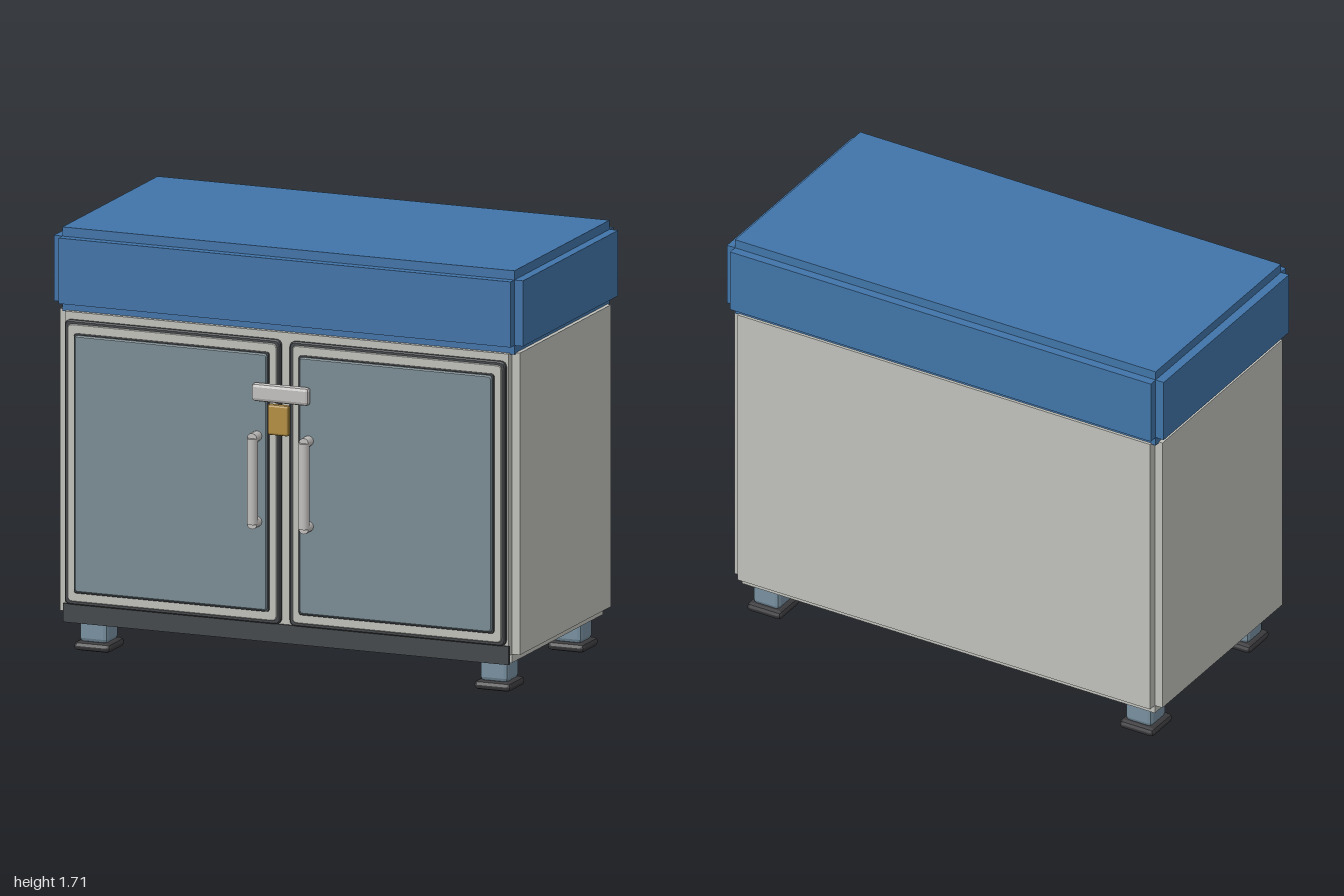
import * as THREE from 'three';
import { mergeGeometries } from 'three/addons/utils/BufferGeometryUtils.js';
import { RoundedBoxGeometry } from 'three/addons/geometries/RoundedBoxGeometry.js';

const mat = (name, color) => {
  const m = new THREE.MeshStandardMaterial({ color });
  m.name = name;
  return m;
};

// Box whose edges are all cut back in a square step
function steppedBox(x, y0, y1, z0, z1, s) {
  const box = (ax, ay0, ay1, az0, az1) =>
    new THREE.BoxGeometry(ax * 2, ay1 - ay0, az1 - az0)
      .translate(0, (ay0 + ay1) / 2, (az0 + az1) / 2);
  return mergeGeometries([
    box(x, y0 + s, y1 - s, z0 + s, z1 - s),
    box(x - s, y0, y1, z0 + s, z1 - s),
    box(x - s, y0 + s, y1 - s, z0, z1),
  ]);
}

// Box with faceted chamfers
function chamferBox(w, h, d, r) {
  const g = new RoundedBoxGeometry(w, h, d, 1, r);
  const flat = g.index ? g.toNonIndexed() : g;
  flat.computeVertexNormals();
  return flat;
}

// Upright plate with rounded corners and a chamfered front edge, from z0 to z1
function plate(w, h, z0, z1, r, c) {
  const x = w / 2 - c, y = h / 2 - c;
  const s = new THREE.Shape();
  s.moveTo(-x + r, -y);
  s.lineTo(x - r, -y);
  s.quadraticCurveTo(x, -y, x, -y + r);
  s.lineTo(x, y - r);
  s.quadraticCurveTo(x, y, x - r, y);
  s.lineTo(-x + r, y);
  s.quadraticCurveTo(-x, y, -x, y - r);
  s.lineTo(-x, -y + r);
  s.quadraticCurveTo(-x, -y, -x + r, -y);
  return new THREE.ExtrudeGeometry(s, {
    depth: z1 - z0 - 2 * c, bevelEnabled: true, bevelSize: c,
    bevelThickness: c, bevelSegments: 1, curveSegments: 4,
  }).translate(0, 0, z0 + c);
}

export function createModel() {
  const model = new THREE.Group();
  model.name = 'cabinet';
  const blue = mat('lid blue', 0x4174a8);
  const grey = mat('body grey', 0xc0c0bb);
  const slate = mat('panel slate', 0x7a8c94);
  const dark = mat('trim charcoal', 0x44474b);
  const metal = mat('handle metal', 0xc2c0be);
  const brass = mat('lock brass', 0xb38f43);
  const steel = mat('foot steel', 0x7890a0);
  const rubber = mat('pad rubber', 0x3a3a3d);

  const add = (parent, name, geo, material, x = 0, y = 0, z = 0) => {
    const m = new THREE.Mesh(geo, material);
    m.name = name;
    m.position.set(x, y, z);
    parent.add(m);
    return m;
  };

  // Body, lid and front kick strip
  add(model, 'body', steppedBox(0.98, 0.125, 1.41, -0.53, 0.45, 0.035), grey);
  add(model, 'lid', steppedBox(1, 1.37, 1.708, -0.555, 0.468, 0.037), blue);
  add(model, 'kickStrip', new THREE.BoxGeometry(1.9, 0.075, 0.012), dark, 0, 0.163, 0.452);

  for (const side of [-1, 1]) {
    // Door: dark gasket, grey frame, thin seam and raised panel
    const door = new THREE.Group();
    door.name = side > 0 ? 'leftDoor' : 'rightDoor';
    door.position.set(side * 0.479, 0.773, 0);
    model.add(door);
    add(door, 'gasket', plate(0.92, 1.145, 0.44, 0.468, 0.02, 0.005), dark);
    add(door, 'frame', plate(0.892, 1.117, 0.455, 0.472, 0.018, 0.003), grey);
    add(door, 'panelSeam', plate(0.832, 1.045, 0.46, 0.478, 0.01, 0.002), dark);
    add(door, 'panel', plate(0.82, 1.033, 0.46, 0.487, 0.01, 0.005), slate);

    // Handle: upright grip on two posts
    const handle = new THREE.Group();
    handle.name = 'handle';
    handle.position.set(side * 0.11, 0.785, 0);
    model.add(handle);
    add(handle, 'grip', new THREE.CylinderGeometry(0.022, 0.022, 0.345, 12), metal, 0, 0, 0.533);
    for (const end of [-1, 1]) {
      const post = new THREE.CylinderGeometry(0.021, 0.021, 0.06, 12).rotateX(Math.PI / 2);
      add(handle, 'post', post, metal, 0, end * 0.172, 0.507);
    }

    // Feet at front and back
    for (const z of [0.323, -0.41]) {
      const foot = new THREE.Group();
      foot.name = 'foot';
      foot.position.set(side * 0.853, 0, z);
      model.add(foot);
      add(foot, 'footBlock', chamferBox(0.12, 0.095, 0.12, 0.017), steel, 0, 0.08, 0);
      add(foot, 'footPad', chamferBox(0.157, 0.036, 0.157, 0.016), rubber, 0, 0.018, 0);
    }
  }

  // Latch bar across both doors with a hanging lock
  add(model, 'latchBar', chamferBox(0.245, 0.073, 0.034, 0.014), metal, 0, 1.139, 0.504);
  add(model, 'lock', chamferBox(0.092, 0.125, 0.024, 0.01), brass, 0, 1.04, 0.527);

  return model;
}
